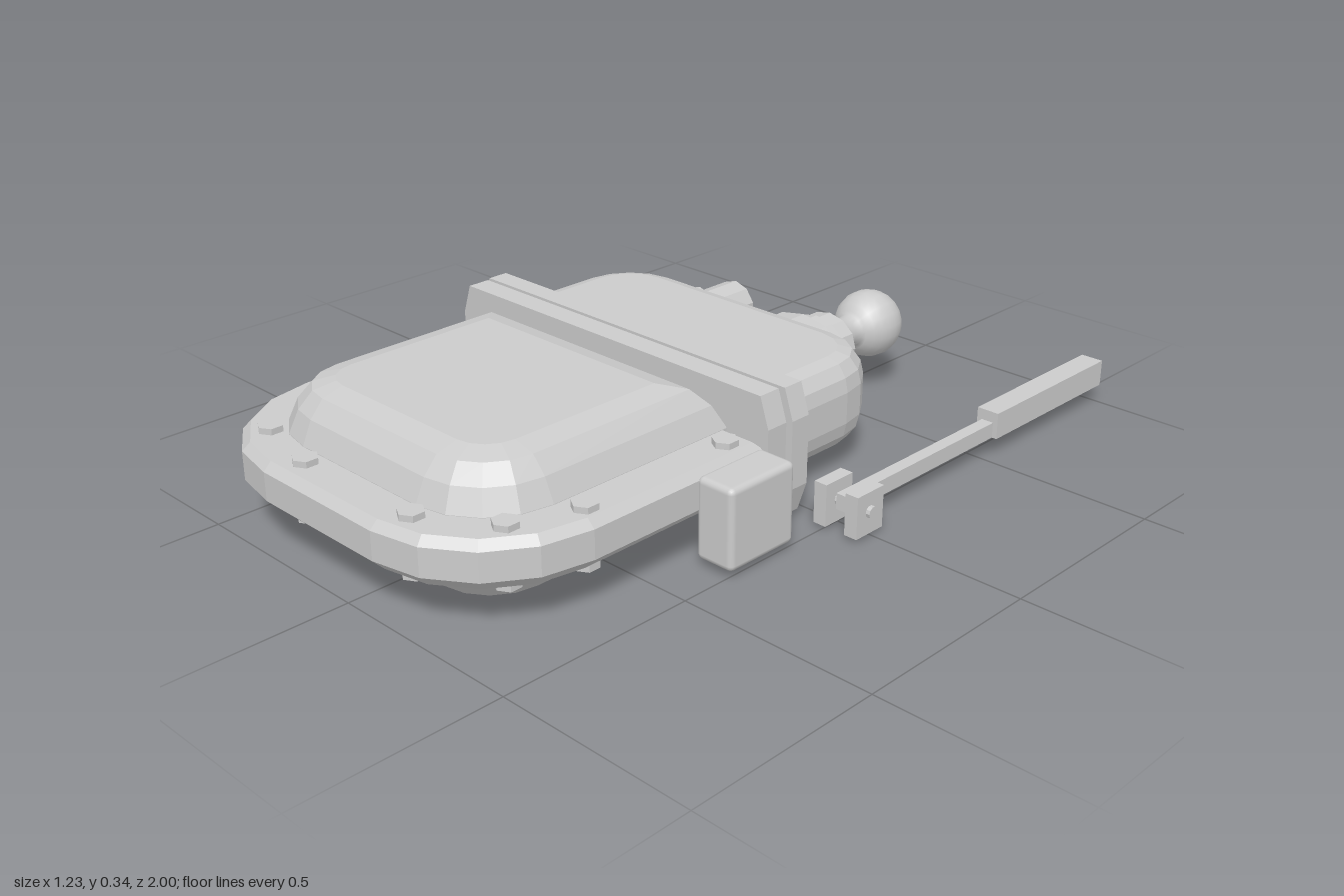
import * as THREE from 'three';
import { RoundedBoxGeometry } from 'three/addons/geometries/RoundedBoxGeometry.js';

const flat = new THREE.MeshStandardMaterial({ color: 0xcccccc, flatShading: true, side: THREE.DoubleSide });
const smooth = new THREE.MeshStandardMaterial({ color: 0xcccccc, side: THREE.DoubleSide });

// Plan outline: square corners at the back, rounded corners at the front
function outline(w, zBack, zFront, r, inset) {
  w -= inset; zBack += inset; zFront -= inset;
  r = Math.max(r - inset, 0.02);
  const pts = [[w, zBack], [-w, zBack]], n = 4;
  for (const side of [-1, 1]) {
    for (let i = 0; i <= n; i++) {
      const t = (i / n) * Math.PI / 2, a = side < 0 ? Math.PI - t : Math.PI / 2 - t;
      pts.push([side * (w - r) + r * Math.cos(a), zFront - r + r * Math.sin(a)]);
    }
  }
  return pts;
}

// Stack inset outlines at the [height, inset] levels, bottom to top
function casing(w, zBack, zFront, r, levels) {
  const pos = [], idx = [];
  let n = 0;
  for (const [y, inset] of levels) {
    const loop = outline(w, zBack, zFront, r, inset);
    n = loop.length;
    for (const [x, z] of loop) pos.push(x, y, z);
  }
  const top = (levels.length - 1) * n;
  for (let k = 0; k < top; k += n) {
    for (let i = 0; i < n; i++) {
      const a = k + i, b = k + (i + 1) % n;
      idx.push(a, b, b + n, a, b + n, a + n);
    }
  }
  for (let i = 1; i < n - 1; i++) idx.push(0, i + 1, i, top, top + i, top + i + 1);
  const g = new THREE.BufferGeometry();
  g.setAttribute('position', new THREE.Float32BufferAttribute(pos, 3));
  g.setIndex(idx);
  g.computeVertexNormals();
  return g;
}

// Mirror half a [height offset, inset] profile about the middle height
const mirrored = (mid, half) => [
  ...half.map(([h, i]) => [mid - h, i]),
  ...half.slice().reverse().map(([h, i]) => [mid + h, i]),
];

export function createModel() {
  const model = new THREE.Group();
  const add = (name, geo, x, y, z, mat = flat, parent = model) => {
    const m = new THREE.Mesh(geo, mat);
    m.name = name;
    m.position.set(x, y, z);
    parent.add(m);
    return m;
  };
  const box = (name, x0, x1, y0, y1, z0, z1, parent) => add(name,
    new THREE.BoxGeometry(x1 - x0, y1 - y0, z1 - z0),
    (x0 + x1) / 2, (y0 + y1) / 2, (z0 + z1) / 2, flat, parent);
  const cx = -0.09, midY = 0.18;

  // Front casing with its bolted rim
  add('frontCasing', casing(0.4, 0.17, 0.89, 0.2, mirrored(0.171,
    [[0.17, 0.115], [0.155, 0.06], [0.115, 0.025], [0.06, 0]])), cx, 0, 0);
  add('casingRim', casing(0.51, 0.165, 1.0, 0.32,
    [[0.11, 0.03], [0.14, 0], [0.21, 0], [0.23, 0.02]]), cx, 0, 0);

  // Bolts above and below the rim
  const bolts = new THREE.Group();
  bolts.name = 'rimBolts';
  model.add(bolts);
  const boltGeo = new THREE.CylinderGeometry(0.031, 0.031, 0.03, 6);
  const spots = [[-0.53, 0.235], [0.365, 0.235], [-0.53, 0.655], [0.365, 0.655],
    [-0.415, 0.89], [0.31, 0.82], [-0.22, 0.932], [0.14, 0.925]];
  for (const [x, z] of spots) {
    for (const y of [0.11, 0.23]) add('bolt', boltGeo, x, y, z, flat, bolts);
  }

  // Pair of joining plates with cut corners
  const plate = (name, w, z, depth) => {
    const h = 0.16, dx = 0.025, dy = 0.075;
    const s = new THREE.Shape([[w, -h + dy], [w, h - dy], [w - dx, h], [-w + dx, h],
      [-w, h - dy], [-w, -h + dy], [-w + dx, -h], [w - dx, -h]].map(p => new THREE.Vector2(...p)));
    add(name, new THREE.ExtrudeGeometry(s, { depth, bevelEnabled: false }), cx + 0.003, midY, z);
  };
  plate('rearPlate', 0.53, 0.045, 0.055);
  plate('frontPlate', 0.522, 0.112, 0.06);
  box('gasket', -0.58, 0.4, 0.045, 0.315, 0.095, 0.115);

  // Rear housing, rounded toward the back
  add('rearHousing', casing(0.455, -0.12, 0.36, 0.17, mirrored(midY,
    [[0.115, 0.065], [0.105, 0.03], [0.075, 0.008], [0.04, 0]])), cx, 0, 0).rotation.y = Math.PI;

  // Collar steps and ball knob at the back
  const disc = (name, rx, ry, z0, z1, x) => {
    const m = add(name, new THREE.CylinderGeometry(1, 1, z1 - z0, 12), x, midY, (z0 + z1) / 2);
    m.rotation.x = Math.PI / 2;
    m.scale.set(rx, 1, ry);
  };
  disc('collarBase', 0.143, 0.1, -0.39, -0.335, 0.055);
  disc('collarMiddle', 0.103, 0.083, -0.44, -0.38, 0.055);
  disc('collarEnd', 0.088, 0.075, -0.495, -0.43, 0.055);
  const knob = [[0.06, 0.48], [0.058, 0.5], [0.047, 0.53], [0.04, 0.56], [0.043, 0.583]];
  for (let i = 0; i <= 10; i++) {
    const a = -Math.PI / 2 + 0.62 + (i / 10) * (Math.PI - 0.62);
    knob.push([Math.max(0.09 * Math.cos(a), 0), 0.66 + 0.09 * Math.sin(a)]);
  }
  add('ballKnob', new THREE.LatheGeometry(knob.map(p => new THREE.Vector2(...p)), 18),
    0.052, midY, 0, smooth).rotation.x = -Math.PI / 2;

  // Open pipe stub
  const pipe = [[0, 0.35], [0.087, 0.35], [0.087, 0.375], [0.067, 0.375],
    [0.067, 0.517], [0.052, 0.517], [0.052, 0.4], [0, 0.4]];
  add('pipeStub', new THREE.LatheGeometry(pipe.map(p => new THREE.Vector2(...p)), 10),
    -0.295, midY, 0).rotation.x = -Math.PI / 2;

  // Side box
  add('sideBox', new RoundedBoxGeometry(0.105, 0.2, 0.205, 2, 0.015), 0.465, 0.12, 0.275, smooth);

  // Lever with grip, fork and pin
  const lever = new THREE.Group();
  lever.name = 'lever';
  model.add(lever);
  box('leverGrip', 0.505, 0.565, 0.05, 0.118, -1, -0.53, lever);
  box('leverRod', 0.519, 0.552, 0.05, 0.09, -0.53, 0.03, lever);
  box('forkPlate', 0.475, 0.51, 0.01, 0.115, -0.037, 0.055, lever);
  box('forkPlate', 0.565, 0.6, 0.01, 0.115, -0.037, 0.055, lever);
  add('forkPin', new THREE.CylinderGeometry(0.015, 0.015, 0.155, 10),
    0.533, 0.066, 0.01, flat, lever).rotation.z = Math.PI / 2;
  return model;
}
